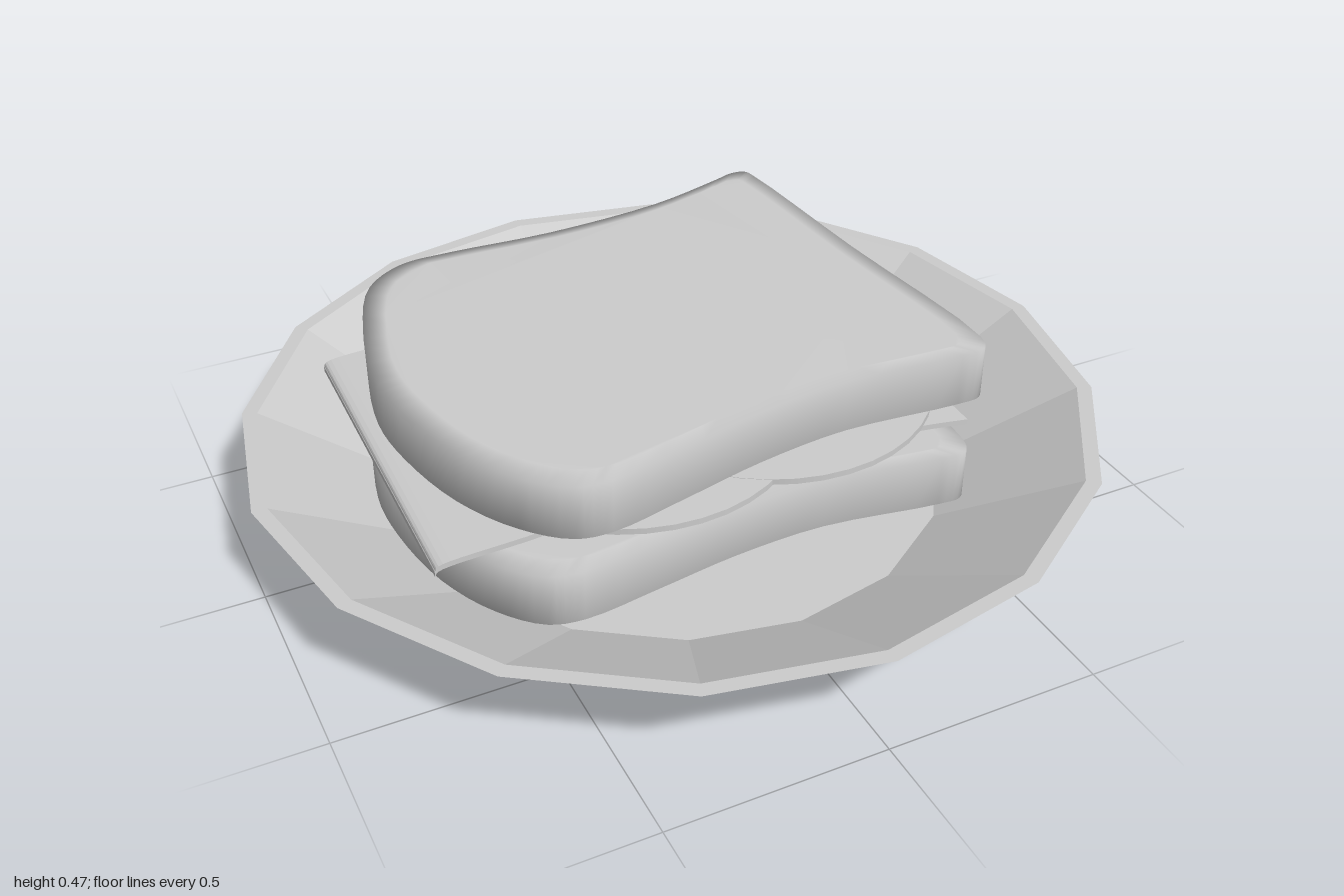
import * as THREE from 'three';

const porcelain = new THREE.MeshStandardMaterial({ color: 0xcccccc });
porcelain.name = 'pale grey';

function add(group, name, geometry) {
  const mesh = new THREE.Mesh(geometry, porcelain);
  mesh.name = name;
  group.add(mesh);
  return mesh;
}

// Bread outline seen from above as x, z pairs, counterclockwise
const OUTLINE = [
  [0.49, -0.575], [0.455, -0.582], [0.4, -0.565], [0.2, -0.51], [-0.1, -0.485], [-0.36, -0.497],
  [-0.48, -0.49], [-0.58, -0.42], [-0.65, -0.25], [-0.69, -0.05], [-0.68, 0.1],
  [-0.63, 0.29], [-0.55, 0.43], [-0.46, 0.51], [-0.38, 0.522], [-0.2, 0.485],
  [0, 0.44], [0.22, 0.415], [0.5, 0.435], [0.56, 0.43], [0.58, 0.385], [0.535, -0.1], [0.5, -0.54],
];

// Slab with soft shading at its rim: four rings joined by quads, closed by flat caps
function breadGeometry(height) {
  const curve = new THREE.CatmullRomCurve3(
    OUTLINE.map(([x, z]) => new THREE.Vector3(x, 0, z)), true);
  const ring = curve.getPoints(92).slice(0, -1);
  const n = ring.length;
  const positions = [];
  const index = [];
  for (const [scale, y] of [[0.92, 0], [1, 0.006], [1, height - 0.006], [0.92, height]]) {
    for (const p of ring) {
      positions.push(-0.05 + (p.x + 0.05) * scale, y, p.z * scale);
    }
  }
  for (let r = 0; r < 3; r++) {
    for (let i = 0; i < n; i++) {
      const a = r * n + i;
      const b = r * n + (i + 1) % n;
      index.push(a, b, b + n, a, b + n, a + n);
    }
  }
  const flat = ring.map((p) => new THREE.Vector2(p.x, -p.z));
  for (const [a, b, c] of THREE.ShapeUtils.triangulateShape(flat, [])) {
    index.push(a + 3 * n, b + 3 * n, c + 3 * n, c, b, a);
  }
  const geometry = new THREE.BufferGeometry();
  geometry.setAttribute('position', new THREE.Float32BufferAttribute(positions, 3));
  geometry.setIndex(index);
  geometry.computeVertexNormals();
  return geometry;
}

// Wavy sheet: a thin rippled profile extruded along z
function sheetGeometry(depth, thickness) {
  const wave = new THREE.SplineCurve([
    [-0.71, 0.242], [-0.68, 0.258], [-0.5, 0.268], [-0.33, 0.282], [-0.05, 0.254],
    [0.25, 0.282], [0.42, 0.274], [0.56, 0.256],
  ].map(([x, y]) => new THREE.Vector2(x, y))).getPoints(40);
  const upper = wave.map((p) => new THREE.Vector2(p.x, p.y + thickness)).reverse();
  const geometry = new THREE.ExtrudeGeometry(new THREE.Shape([...wave, ...upper]), {
    depth, steps: 1, bevelEnabled: false,
  });
  geometry.translate(0, 0, -depth / 2);
  return geometry;
}

export function createModel() {
  const group = new THREE.Group();
  group.name = 'sandwichOnPlate';

  // Sixteen-sided faceted plate
  const profile = [
    [0, 0], [0.655, 0], [0.655, 0.035], [1, 0.235], [0.965, 0.235], [0.64, 0.055], [0, 0.055],
  ].map(([x, y]) => new THREE.Vector2(x, y));
  const plate = new THREE.LatheGeometry(profile, 16).toNonIndexed();
  plate.computeVertexNormals();
  add(group, 'plate', plate);

  // Two slices of bread, the lower one turned a little
  const bread = breadGeometry(0.14);
  add(group, 'topBread', bread).position.y = 0.335;
  const bottom = add(group, 'bottomBread', bread);
  bottom.position.set(-0.01, 0.09, -0.01);
  bottom.rotation.y = -0.08;

  // Cheese sheet drooping at its left edge
  const cheese = add(group, 'cheeseSlice', sheetGeometry(0.85, 0.013));
  cheese.position.z = -0.027;
  cheese.rotation.y = -0.02;

  // Three overlapping round slices
  const disc = new THREE.CylinderGeometry(0.385, 0.385, 0.014, 40);
  [[-0.185, 0.309, 0.145], [0.175, 0.31, 0.13], [-0.075, 0.313, -0.195]].forEach(([x, y, z], i) => {
    add(group, 'roundSlice' + (i + 1), disc).position.set(x, y, z);
  });

  // Low mound where the slices overlap
  const mound = add(group, 'fillingMound', new THREE.SphereGeometry(1, 32, 8, 0, Math.PI * 2, 0, Math.PI / 2));
  mound.scale.set(0.23, 0.02, 0.15);
  mound.position.set(-0.01, 0.316, 0.08);

  return group;
}
